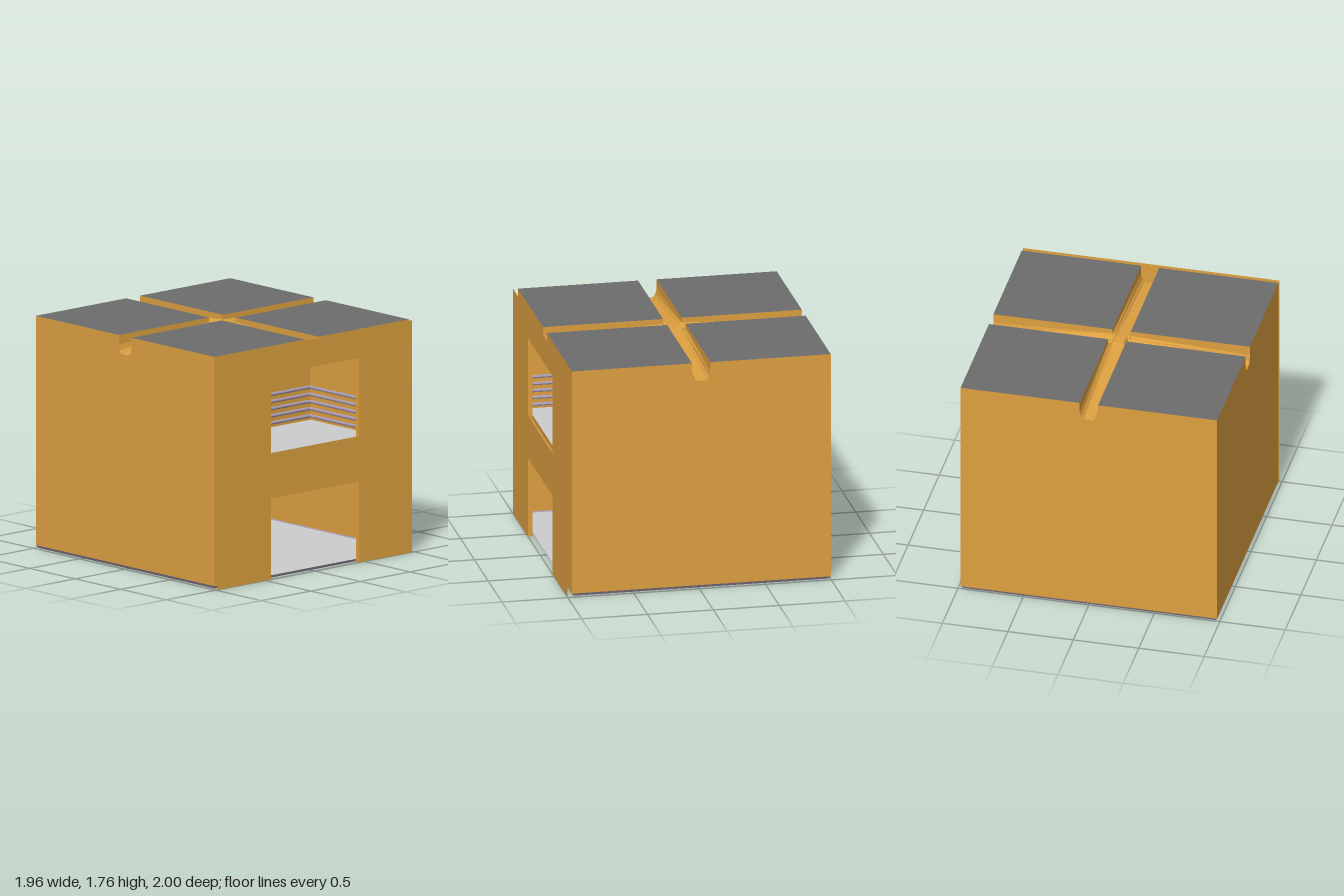
import * as THREE from 'three';

const mat = (color, side = THREE.FrontSide) => new THREE.MeshStandardMaterial({ color, side, flatShading: true });
const BRICK = 0xdda040, DARK = 0x6c6c6c, MAUVE = 0xa898b0, GREY = 0xcccccc;
const X = 0.98, BACK = -1, FRONT = 0.965, FACE = 1, TOP = 1.765, SEAM = 1.6, MID = -0.0175;
const G = 0.07; // half width of the top grooves

export function createModel() {
  const root = new THREE.Group();
  const add = (name, geo, material, parent = root) => {
    const m = new THREE.Mesh(geo, material);
    m.name = name;
    parent.add(m);
    return m;
  };
  // box between two corners
  const boxGeo = (x0, x1, y0, y1, z0, z1) =>
    new THREE.BoxGeometry(x1 - x0, y1 - y0, z1 - z0).translate((x0 + x1) / 2, (y0 + y1) / 2, (z0 + z1) / 2);
  // keep only some faces of a box: 0 +x, 1 -x, 2 +y, 3 -y, 4 +z, 5 -z
  const keep = (geo, faces) => {
    const src = Array.from(geo.index.array);
    geo.setIndex(faces.flatMap(f => src.slice(f * 6, f * 6 + 6)));
    geo.clearGroups();
    return geo;
  };
  const brick = mat(BRICK), inner = mat(BRICK, THREE.BackSide), both = mat(BRICK, THREE.DoubleSide);
  const dark = mat(DARK), grey = mat(GREY), mauve = mat(MAUVE), mauveBoth = mat(MAUVE, THREE.DoubleSide);

  // base tray, slightly narrower at the bottom, with a pale floor
  const tray = boxGeo(-X, X, 0, 0.022, BACK, FRONT);
  const p = tray.attributes.position;
  for (let i = 0; i < p.count; i++) if (p.getY(i) < 0.01) {
    p.setX(i, p.getX(i) * 0.985);
    p.setZ(i, MID + (p.getZ(i) - MID) * 0.985);
  }
  add('baseSides', keep(tray.clone(), [0, 1, 4, 5]), mauveBoth);
  add('baseBottom', keep(tray, [3]), dark);
  add('lowerFloor', keep(boxGeo(-0.966, 0.966, 0.001, 0.005, -0.98, 0.95), [2]), grey);

  // outer walls
  add('outerWalls', keep(boxGeo(-X, X, 0.022, SEAM, BACK, FRONT), [0, 1, 5]), brick);

  // front wall and face plate, both with two openings
  const panel = (y0, y1) => {
    const s = new THREE.Shape([[-X, y0], [-0.445, y0], [-0.445, 0.615], [0.445, 0.615], [0.445, y0], [X, y0], [X, y1], [-X, y1]]
      .map(a => new THREE.Vector2(...a)));
    s.holes.push(new THREE.Path([[-0.445, 0.951], [-0.445, 1.555], [0.445, 1.555], [0.445, 0.951]]
      .map(a => new THREE.Vector2(...a))));
    return new THREE.ShapeGeometry(s);
  };
  add('frontWall', panel(0.022, SEAM).translate(0, 0, FRONT), both);
  add('facePlate', panel(0, TOP).translate(0, 0, FACE), both);
  add('lowerJambs', keep(boxGeo(-0.445, 0.445, 0, 0.615, FRONT, FACE), [0, 1, 2]), inner);
  add('upperJambs', keep(boxGeo(-0.445, 0.445, 0.91, 1.555, FRONT, FACE), [0, 1, 2, 3]), inner);

  // chambers behind the openings
  add('lowerChamber', keep(boxGeo(-0.945, 0.945, 0.022, 0.88, -0.965, FRONT), [0, 1, 2, 5]), inner);
  add('upperChamber', keep(boxGeo(-0.6, 0.6, 0.95, 1.555, 0.295, FRONT), [0, 1, 2, 5]), inner);
  add('upperFloor', keep(boxGeo(-0.6, 0.6, 0.91, 0.951, 0.295, FRONT), [2]), grey);

  // heating element: stacked U-shaped rods joined to a post on each side
  const element = new THREE.Group();
  element.name = 'heatingElement';
  root.add(element);
  const path = new THREE.CurvePath();
  const pts = [[-0.57, 0.96], [-0.57, 0.32], [0.57, 0.32], [0.57, 0.96]].map(([x, z]) => new THREE.Vector3(x, 0, z));
  for (let i = 0; i < 3; i++) path.add(new THREE.LineCurve3(pts[i], pts[i + 1]));
  for (let i = 0; i < 5; i++)
    add('heatingRod', new THREE.TubeGeometry(path, 96, 0.0135, 8), mauve, element).position.y = 1.208 - i * 0.0545;
  for (const s of [-1, 1])
    add('elementPost', new THREE.CylinderGeometry(0.028, 0.028, 0.27, 12), dark, element).position.set(s * 0.57, 1.1, 0.971);

  // four top blocks, left apart by the crossing grooves
  for (const [x0, x1] of [[-X, -G], [G, X]])
    for (const [z0, z1] of [[BACK, MID - G], [MID + G, FRONT]])
      add('topBlock', boxGeo(x0, x1, SEAM, TOP, z0, z1), [brick, brick, dark, brick, brick, brick]);

  // groove beds: rounded channels rising from the outer end to the middle
  const outer = [[-G, SEAM], [-G, 1.69], [-0.06, 1.65], [-0.04, 1.625], [0.04, 1.625], [0.06, 1.65], [G, 1.69], [G, SEAM]];
  const centre = [[-G, SEAM], [-G, 1.73], [-0.055, 1.712], [-0.04, 1.7], [0.04, 1.7], [0.055, 1.712], [G, 1.73], [G, SEAM]];
  const bed = (length) => {
    const pos = [], idx = [], n = outer.length;
    outer.forEach(([x, y]) => pos.push(x, y, length));
    centre.forEach(([x, y]) => pos.push(x, y, 0.05));
    for (let i = 0; i < n - 1; i++) idx.push(i, i + 1, n + i, i + 1, n + i + 1, n + i);
    // end cap
    for (const [a, b, c] of THREE.ShapeUtils.triangulateShape(outer.map(q => new THREE.Vector2(...q)), [])) {
      const [A, B, C] = [outer[a], outer[b], outer[c]];
      const turn = (B[0] - A[0]) * (C[1] - A[1]) - (B[1] - A[1]) * (C[0] - A[0]);
      idx.push(...(turn > 0 ? [a, b, c] : [a, c, b]));
    }
    const g = new THREE.BufferGeometry();
    g.setAttribute('position', new THREE.Float32BufferAttribute(pos, 3));
    g.setIndex(idx);
    const flat = g.toNonIndexed();
    flat.computeVertexNormals();
    return flat;
  };
  for (let i = 0; i < 4; i++) {
    const m = add('grooveBed', bed(i % 2 ? X : FRONT - MID), both);
    m.rotation.y = i * Math.PI / 2;
    m.position.z = MID;
  }

  // small raised boss where the grooves cross
  const boss = new THREE.CylinderGeometry(0.04 * Math.SQRT2, 0.062 * Math.SQRT2, 0.04, 4).rotateY(Math.PI / 4);
  add('grooveCrossing', boss, brick).position.set(0, 1.71, MID);

  return root;
}
